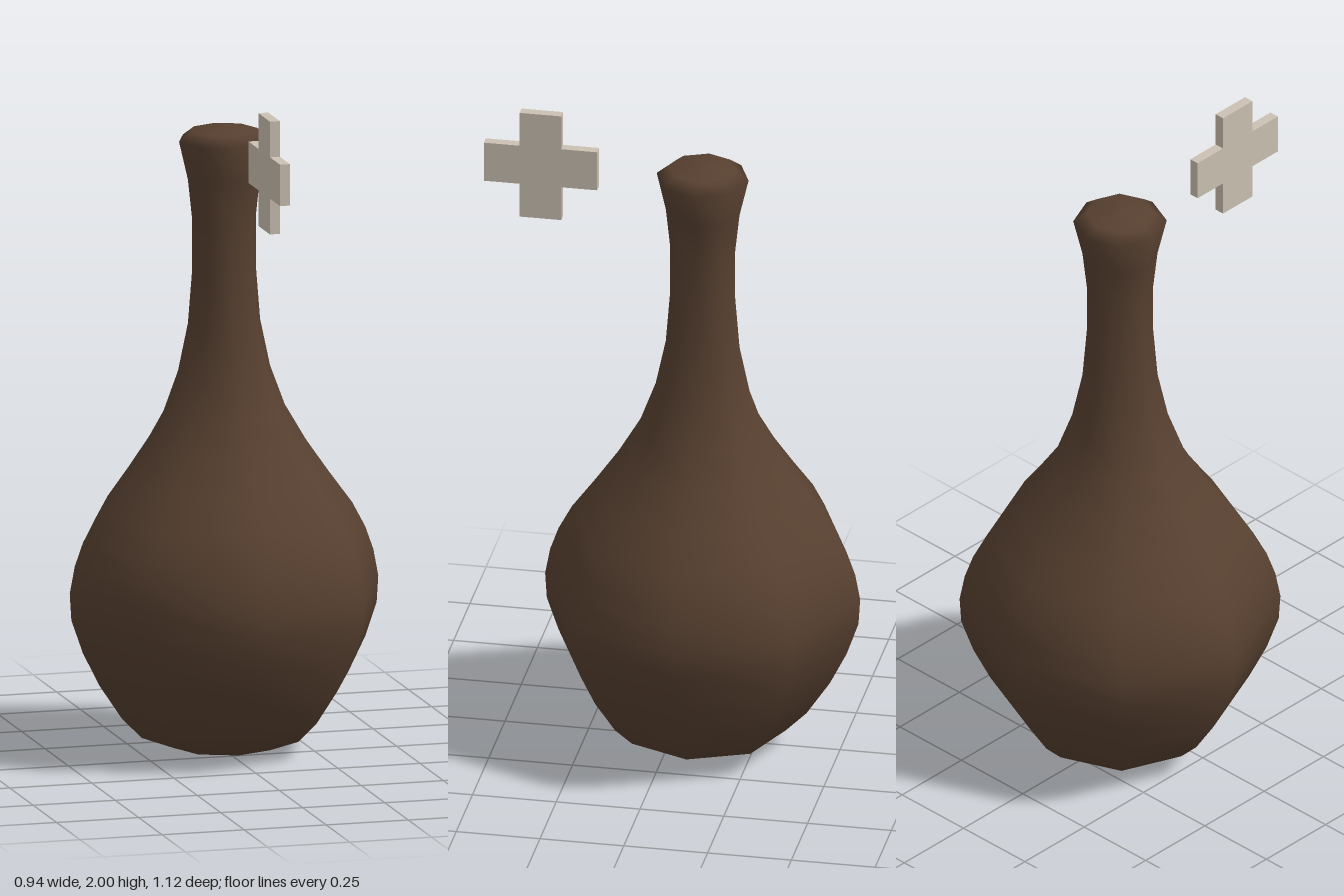
import * as THREE from 'three';

export function createModel() {
  const model = new THREE.Group();
  model.name = 'bottleWithCross';

  const brown = new THREE.MeshStandardMaterial({ color: 0x574030 });
  brown.name = 'darkBrown';
  const bone = new THREE.MeshStandardMaterial({ color: 0xcbc0b2 });
  bone.name = 'paleBone';

  // Closed eight-sided bottle: [radius, height] from base to cap
  const profile = [
    [0, 0.005], [0.155, 0.02], [0.25, 0.055], [0.31, 0.115], [0.38, 0.22],
    [0.43, 0.32], [0.465, 0.42], [0.47, 0.5], [0.455, 0.58], [0.43, 0.65],
    [0.39, 0.725], [0.32, 0.82], [0.25, 0.92], [0.185, 1.03], [0.14, 1.15],
    [0.11, 1.29], [0.097, 1.45], [0.097, 1.6], [0.11, 1.72], [0.137, 1.835],
    [0.1, 1.863], [0, 1.874],
  ].map(([r, y]) => new THREE.Vector2(r, y));
  const bottle = new THREE.Mesh(new THREE.LatheGeometry(profile, 8), brown);
  bottle.name = 'bottle';
  bottle.position.z = -0.09;
  model.add(bottle);

  // Thin plus-shaped plate floating in front of the neck, edge-on to the front
  const reach = 0.169, half = 0.062, thickness = 0.03;
  const outline = [];
  for (let i = 0; i < 4; i++) {
    const turn = (i * Math.PI) / 2;
    for (const [x, y] of [[reach, -half], [reach, half], [half, half]]) {
      outline.push(new THREE.Vector2(x, y).rotateAround(new THREE.Vector2(), turn));
    }
  }
  const crossGeometry = new THREE.ExtrudeGeometry(new THREE.Shape(outline), {
    depth: thickness, bevelEnabled: false,
  });
  crossGeometry.translate(0, 0, -thickness / 2).rotateY(-Math.PI / 2);
  const cross = new THREE.Mesh(crossGeometry, bone);
  cross.name = 'cross';
  cross.position.set(0, 1.831, 0.391);
  model.add(cross);

  return model;
}
